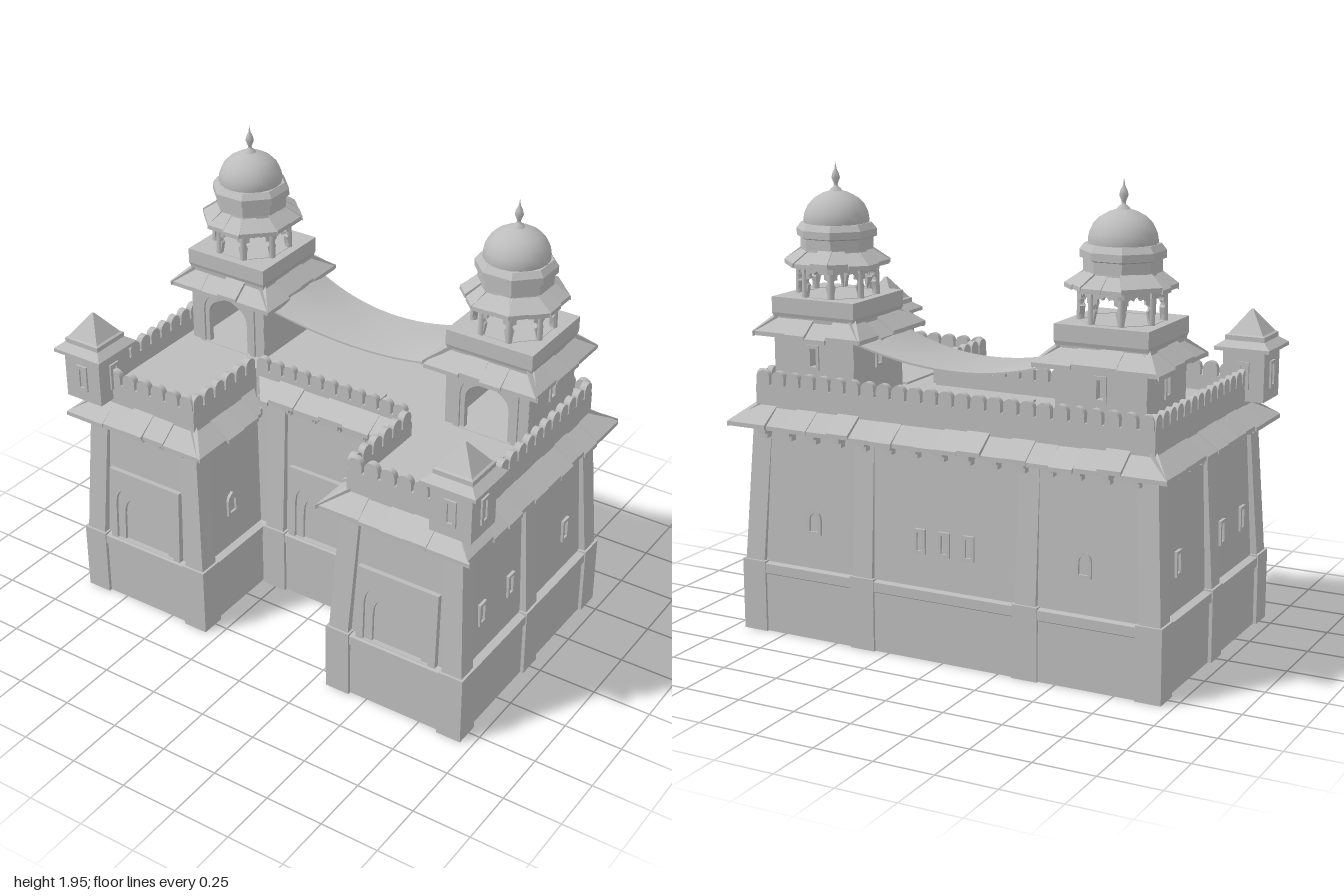
import * as THREE from 'three';

const stone = new THREE.MeshStandardMaterial({ color: 0xbcbcbc });
stone.name = 'stone';
const shell = stone.clone();
shell.name = 'stoneShell';
shell.side = THREE.DoubleSide;

let seed = 7;
const rand = () => (seed = (seed * 16807) % 2147483647) / 2147483647;

export function createModel() {
  const root = new THREE.Group();
  root.name = 'gatehouse';

  const add = (name, geo, x = 0, y = 0, z = 0, turn = 0, tilt = 0) => {
    const m = new THREE.Mesh(geo, stone);
    m.name = name;
    m.position.set(x, y, z);
    m.rotation.set(tilt, turn, 0, 'YXZ');
    root.add(m);
    return m;
  };

  // Outlines in [x, z]; each runs so that its outer side is (-dz, dx)
  const U = (o) => {
    const X = 0.89 + o, F = 0.51 + o, B = 0.525 + 0.75 * o, I = 0.37 - o, C = 0.08 + o;
    return [[X, F], [X, -B], [-X, -B], [-X, F], [-I, F], [-I, C], [I, C], [I, F]];
  };
  const ngon = (n, r, cx = 0, cz = 0) => Array.from({ length: n }, (_, i) => {
    const a = Math.PI / n - i * 2 * Math.PI / n, R = r / Math.cos(Math.PI / n);
    return [cx + R * Math.cos(a), cz + R * Math.sin(a)];
  });
  const edges = (poly) => poly.map((p, i) => {
    const q = poly[(i + 1) % poly.length];
    const L = Math.hypot(q[0] - p[0], q[1] - p[1]);
    const d = [(q[0] - p[0]) / L, (q[1] - p[1]) / L];
    return { p, d, L, n: [-d[1], d[0]], turn: Math.atan2(-d[1], d[0]) };
  });

  // Flat-faced skin through outlines at given heights
  const loft = (name, rings, capped = true) => {
    const v = [];
    const put = ([p, y]) => v.push(p[0], y, p[1]);
    for (let k = 0; k + 1 < rings.length; k++) {
      const [A, y0] = rings[k], [B, y1] = rings[k + 1];
      A.forEach((a, i) => {
        const j = (i + 1) % A.length;
        [[a, y0], [A[j], y0], [B[j], y1], [a, y0], [B[j], y1], [B[i], y1]].forEach(put);
      });
    }
    const cap = ([P, y], up) => {
      const tris = THREE.ShapeUtils.triangulateShape(P.map((p) => new THREE.Vector2(...p)), []);
      for (const [i, j, k] of tris) {
        const [a, b, c] = [P[i], P[j], P[k]];
        const ny = (b[1] - a[1]) * (c[0] - a[0]) - (b[0] - a[0]) * (c[1] - a[1]);
        ((ny > 0) === up ? [a, b, c] : [a, c, b]).forEach((p) => put([p, y]));
      }
    };
    if (capped) {
      cap(rings[0], false);
      cap(rings[rings.length - 1], true);
    }
    const g = new THREE.BufferGeometry();
    g.setAttribute('position', new THREE.Float32BufferAttribute(v, 3));
    g.computeVertexNormals();
    return add(name, g);
  };

  // Sloping eave of uneven slabs, mitred at the corners
  const eave = (name, poly, y, drop, out, slab, jag, keep = () => true) => {
    const E = edges(poly);
    const mitre = (a, b) => out * Math.tan(-Math.atan2(
      a.d[0] * b.d[1] - a.d[1] * b.d[0], a.d[0] * b.d[0] + a.d[1] * b.d[1]) / 2);
    E.forEach((e, i) => {
      if (!keep(i)) return;
      const m0 = mitre(E[(i + E.length - 1) % E.length], e), m1 = mitre(e, E[(i + 1) % E.length]);
      const n = Math.max(1, Math.round(e.L / slab));
      for (let k = 0; k < n; k++) {
        const s0 = e.L * k / n, s1 = e.L * (k + 1) / n;
        const j = (rand() - 0.5) * jag, lift = (rand() - 0.5) * jag;
        const g = new THREE.BoxGeometry(1, 1, 1), P = g.attributes.position;
        for (let q = 0; q < P.count; q++) {
          const outer = P.getZ(q) > 0, right = P.getX(q) > 0;
          let s = right ? s1 : s0;
          if (outer && right && k === n - 1) s += m1;
          if (outer && !right && k === 0) s -= m0;
          P.setXYZ(q, s, (P.getY(q) > 0 ? 0.018 : 0) + lift - (outer ? drop : 0), outer ? out + j : -0.02);
        }
        g.computeVertexNormals();
        add(name, g, e.p[0], y, e.p[1], e.turn);
      }
    });
  };

  const extrude = (shape, depth) =>
    new THREE.ExtrudeGeometry(shape, { depth, bevelEnabled: false, curveSegments: 8 });
  const rect = (x0, x1, y0, y1, C = THREE.Shape) => new C([[x0, y0], [x1, y0], [x1, y1], [x0, y1]]
    .map((p) => new THREE.Vector2(...p)));
  // Pointed arch outline
  const arch = (w, y0, ys, ya, C = THREE.Path) => {
    const p = new C(), h = ya - ys;
    p.moveTo(-w, y0); p.lineTo(w, y0); p.lineTo(w, ys);
    p.bezierCurveTo(w, ys + 0.7 * h, 0.35 * w, ya - 0.25 * h, 0, ya);
    p.bezierCurveTo(-0.35 * w, ya - 0.25 * h, -w, ys + 0.7 * h, -w, ys);
    p.closePath();
    return p;
  };
  const plate = (outline, hole, depth) => { outline.holes.push(hole); return extrude(outline, depth); };

  // Open-bottomed plinth, battered walls and roof deck
  loft('plinth', [[U(0.045), 0], [U(0.045), 0.25], [U(0.055), 0.255], [U(0.055), 0.295], [U(0.02), 0.3]], false).material = shell;
  loft('walls', [[U(0.022), 0.27], [U(0), 0.88], [U(0), 0.985]]);
  for (const [x, z, w, d] of [[0.635, 0.195, 0.31, 0.39], [-0.635, 0.195, 0.31, 0.39], [0, -0.08, 0.3, 0.09]])
    add('deckSlab', new THREE.BoxGeometry(w, 0.012, d), x, 0.988, z);

  // Pilasters lean inward above the plinth
  const pilaster = (x, z, lx, lz, top = 0.9) => {
    add('pilasterBase', new THREE.BoxGeometry(0.11, 0.305, 0.11), x, 0.1525, z);
    const g = new THREE.BoxGeometry(0.09, top - 0.3, 0.09), P = g.attributes.position;
    for (let i = 0; i < P.count; i++) if (P.getY(i) > 0)
      P.setXYZ(i, P.getX(i) - lx * 0.035, P.getY(i), P.getZ(i) - lz * 0.035);
    g.computeVertexNormals();
    add('pilaster', g, x, (top + 0.3) / 2, z);
  };
  for (const s of [1, -1]) {
    pilaster(s * 0.895, 0.515, s, 1);
    pilaster(s * 0.895, -0.515, s, -1);
    pilaster(s * 0.365, 0.515, -s, 1);
    pilaster(s * 0.895, 0, s, 0);
    pilaster(s * 0.37, -0.515, 0, -1);
    pilaster(s * 0.255, 0.085, 0, 1, 0.97);
  }

  // Eaves, brackets and rounded battlements
  eave('eave', U(0), 0.955, 0.075, 0.085, 0.1, 0.018, (i) => i !== 5);
  eave('gateEave', U(0), 1.015, 0.06, 0.09, 0.12, 0.018, (i) => i === 5);
  edges(U(0)).forEach((e, i) => {
    const n = Math.round(e.L / 0.115), lift = i === 5 ? 0.065 : 0;
    for (let k = 0; k < n; k++) {
      const s = e.L * (k + 0.5) / n;
      const at = (o) => [e.p[0] + e.d[0] * s + e.n[0] * o, e.p[1] + e.d[1] * s + e.n[1] * o];
      const [a, b] = [at(0.025), at(0.015)];
      add('bracket', new THREE.BoxGeometry(0.032, 0.035, 0.06), a[0], 0.875 + lift, a[1], e.turn);
      add('bracketFoot', new THREE.BoxGeometry(0.024, 0.03, 0.035), b[0], 0.85 + lift, b[1], e.turn);
    }
    const m = Math.round(e.L / 0.07), w = e.L / m, r = w * 0.42, sh = new THREE.Shape();
    sh.moveTo(0, 0.95); sh.lineTo(e.L, 0.95); sh.lineTo(e.L, 1.05);
    for (let k = m - 1; k >= 0; k--) {
      const c = (k + 0.5) * w;
      sh.lineTo(c + r, 1.05);
      sh.lineTo(c + r, 1.08);
      sh.absarc(c, 1.08, r, 0, Math.PI, false);
      sh.lineTo(c - r, 1.05);
    }
    sh.lineTo(0, 1.05);
    add('battlement', extrude(sh, 0.028), e.p[0] - e.n[0] * 0.028, 0, e.p[1] - e.n[1] * 0.028, e.turn);
  });

  // Arched niches with stepped frames
  for (const [x, z] of [[-0.63, 0.53], [0, 0.1], [0.63, 0.53]]) {
    add('nicheFrame', plate(rect(-0.185, 0.185, 0, 0.34), arch(0.152, 0.002, 0.18, 0.31), 0.026), x, 0.3, z, 0, -0.045);
    add('nicheArch', plate(rect(-0.17, 0.17, 0, 0.32), arch(0.115, 0.002, 0.13, 0.26), 0.014), x, 0.3, z, 0, -0.045);
  }

  // Windows
  const slot = (x, z, turn) =>
    add('window', plate(rect(-0.025, 0.025, -0.052, 0.052), rect(-0.013, 0.013, -0.038, 0.038, THREE.Path), 0.016), x, 0.49, z, turn);
  const archWindow = (x, z, turn) =>
    add('archWindow', plate(arch(0.033, -0.052, 0.01, 0.058, THREE.Shape), arch(0.02, -0.04, 0.005, 0.04), 0.016), x, 0.5, z, turn);
  for (const s of [1, -1]) {
    for (const z of [0.36, 0.135, -0.325]) slot(s * 0.899, z, s * Math.PI / 2);
    archWindow(s * 0.61, -0.53, Math.PI);
    archWindow(s * 0.361, 0.3, -s * Math.PI / 2);
  }
  for (const x of [-0.11, 0, 0.11]) slot(x, -0.53, Math.PI);

  // Front corner turrets
  for (const s of [1, -1]) {
    const x = s * 0.88, z = 0.497, sq = (r) => ngon(4, r, x, z);
    loft('turret', [[sq(0.09), 0.975], [sq(0.09), 1.19], [sq(0.12), 1.185], [sq(0.12), 1.2], [sq(0.085), 1.225],
      [sq(0.085), 1.245], [sq(0.075), 1.25], [sq(0.004), 1.347]]);
    edges(sq(0.09)).forEach((e) => {
      add('turretWindow', plate(rect(-0.026, 0.026, 1.025, 1.14), rect(-0.012, 0.012, 1.04, 1.125, THREE.Path), 0.01),
        x + e.n[0] * 0.088, 0, z + e.n[1] * 0.088, e.turn);
    });
  }

  // Rear towers with domed kiosks
  for (const s of [1, -1]) {
    const x = s * 0.64, z = -0.28;
    const ring = (n, r) => ngon(n, r, x, z);
    edges(ring(4, 0.19)).forEach((e) => {
      const front = e.n[1] > 0.5;
      const hole = front ? arch(0.1, 0.985, 1.12, 1.22) : rect(-0.014, 0.014, 1.135, 1.21, THREE.Path);
      const at = (o) => [x + e.n[0] * o, z + e.n[1] * o];
      const [a, b] = [at(0.165), at(0.186)];
      add('towerWall', plate(rect(-0.189, 0.189, 0.975, 1.31), hole, 0.025), a[0], 0, a[1], e.turn);
      const trim = front ? plate(rect(-0.145, 0.145, 0.985, 1.27), arch(0.12, 0.987, 1.14, 1.255), 0.014)
        : plate(rect(-0.026, 0.026, 1.12, 1.225), rect(-0.014, 0.014, 1.135, 1.21, THREE.Path), 0.012);
      add('towerTrim', trim, b[0], 0, b[1], e.turn);
    });
    eave('towerEave', ring(4, 0.19), 1.318, 0.068, 0.067, 0.1, 0.016);
    loft('towerCrown', [[ring(4, 0.186), 1.29], [ring(4, 0.19), 1.33], [ring(4, 0.195), 1.345], [ring(4, 0.195), 1.41]]);

    // Open kiosk with scalloped arches
    edges(ring(8, 0.155)).forEach((e) => {
      const h = new THREE.Path(), w = e.L / 2;
      h.moveTo(-0.052, 1.412); h.lineTo(0.052, 1.412);
      for (let k = 0; k <= 30; k++) {
        const t = Math.PI * k / 30, r = 0.042 + 0.012 * Math.abs(Math.sin(t * 5));
        h.lineTo(r * Math.cos(t), 1.462 + r * 1.08 * Math.sin(t));
      }
      add('kioskArch', plate(rect(-w, w, 1.405, 1.56), h, 0.02), x + e.n[0] * 0.135, 0, z + e.n[1] * 0.135, e.turn);
    });
    for (const [px, pz] of ring(8, 0.148)) {
      add('kioskColumn', new THREE.CylinderGeometry(0.012, 0.015, 0.14, 8), px, 1.475, pz);
      add('kioskBracket', new THREE.BoxGeometry(0.025, 0.035, 0.025), px, 1.53, pz, Math.atan2(px - x, pz - z));
    }
    eave('kioskEave', ring(8, 0.145), 1.59, 0.055, 0.055, 0.06, 0.012);
    loft('drum', [[ring(8, 0.145), 1.545], [ring(8, 0.14), 1.6], [ring(8, 0.14), 1.645], [ring(8, 0.153), 1.65],
      [ring(8, 0.153), 1.68], [ring(8, 0.135), 1.705]]);
    const lathe = (pts, n) => new THREE.LatheGeometry(pts.map((p) => new THREE.Vector2(...p)), n);
    add('dome', lathe([[0.13, 1.69], [0.135, 1.715], [0.13, 1.745], [0.115, 1.777], [0.09, 1.803], [0.055, 1.823],
      [0.025, 1.833], [0, 1.838]], 20), x, 0, z);
    add('finial', lathe([[0.028, 1.828], [0.022, 1.84], [0.009, 1.85], [0.008, 1.86], [0.018, 1.885], [0.013, 1.905],
      [0.005, 1.92], [0, 1.95]], 10), x, 0, z);
  }

  // Sagging awning between the towers
  const g = new THREE.BoxGeometry(2, 0.008, 2, 20, 1, 8), P = g.attributes.position;
  for (let i = 0; i < P.count; i++) {
    const u = P.getX(i), v = P.getZ(i);
    P.setXYZ(i, u * (0.38 + 0.07 * v * v), 1.17 + 0.085 * u * u + P.getY(i), -0.28 + v * (0.16 + 0.045 * u * u));
  }
  g.computeVertexNormals();
  add('awning', g);

  return root;
}
